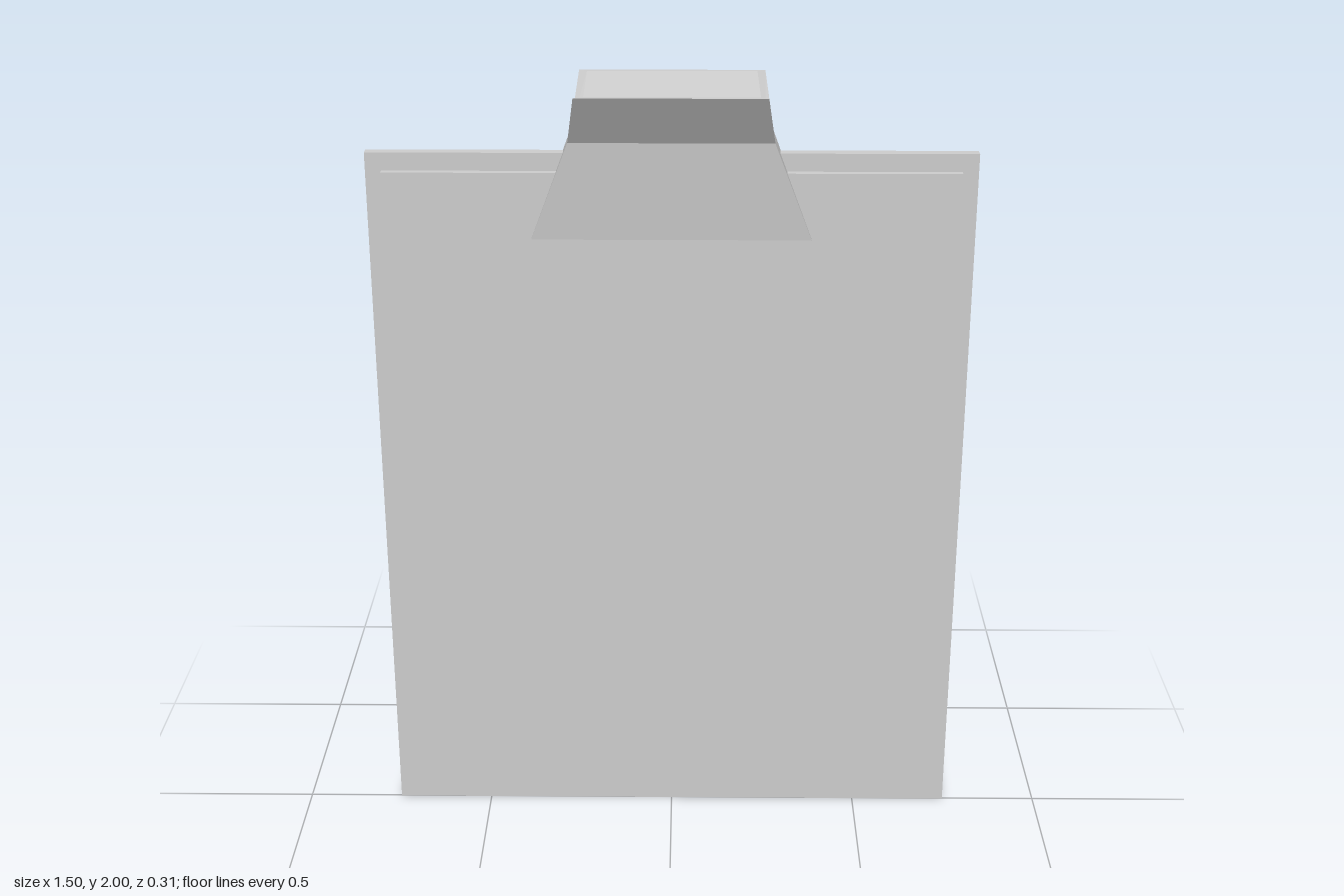
import * as THREE from 'three';

const material = new THREE.MeshStandardMaterial({ color: 0xcccccc, flatShading: true });

// Four-cornered cross-section at height y: front edge (z, half width) and back edge
const section = (y, zFront, wFront, zBack, wBack) => [
  [-wFront, y, zFront], [wFront, y, zFront], [wBack, y, zBack], [-wBack, y, zBack],
];
const rectangle = (y, w, d) => section(y, d, w, -d, w);

// Closed, flat-sided solid through cross-sections stacked from bottom to top
function loft(name, sections) {
  const positions = [];
  const quad = (a, b, c, d) => positions.push(...a, ...b, ...c, ...a, ...c, ...d);
  for (let s = 0; s < sections.length - 1; s++) {
    const low = sections[s], high = sections[s + 1];
    for (let i = 0; i < 4; i++) {
      const j = (i + 1) % 4;
      quad(low[i], low[j], high[j], high[i]);
    }
  }
  quad(...sections[sections.length - 1]);
  quad(...[...sections[0]].reverse());
  const geometry = new THREE.BufferGeometry();
  geometry.setAttribute('position', new THREE.Float32BufferAttribute(positions, 3));
  geometry.computeVertexNormals();
  const mesh = new THREE.Mesh(geometry, material);
  mesh.name = name;
  return mesh;
}

// Upright slab between two heights and two depths
function slab(name, width, y0, y1, z0, z1) {
  const mesh = new THREE.Mesh(new THREE.BoxGeometry(width, y1 - y0, z1 - z0), material);
  mesh.position.set(0, (y0 + y1) / 2, (z0 + z1) / 2);
  mesh.name = name;
  return mesh;
}

export function createModel() {
  const model = new THREE.Group();
  model.name = 'clipboard';

  model.add(slab('board', 1.5, 0, 1.83, -0.027, 0.003));
  model.add(slab('paperStack', 1.42, 0.05, 1.785, 0.003, 0.022));

  const clip = new THREE.Group();
  clip.name = 'clip';

  // Wedge-shaped jaws with a bevelled spine on top
  clip.add(loft('clipJaws', [rectangle(1.62, 0.345, 0.034), rectangle(1.87, 0.25, 0.062)]));
  clip.add(loft('clipSpine', [
    rectangle(1.87, 0.225, 0.06), rectangle(1.9, 0.225, 0.058), rectangle(1.92, 0.195, 0.052),
  ]));

  // Flared finger grips, front and back
  for (const [name, turn] of [['frontGrip', 0], ['backGrip', Math.PI]]) {
    const grip = loft(name, [
      section(1.87, 0.062, 0.25, 0.05, 0.23),
      section(2, 0.153, 0.23, 0.138, 0.21),
    ]);
    grip.rotation.y = turn;
    clip.add(grip);
  }

  model.add(clip);
  return model;
}
